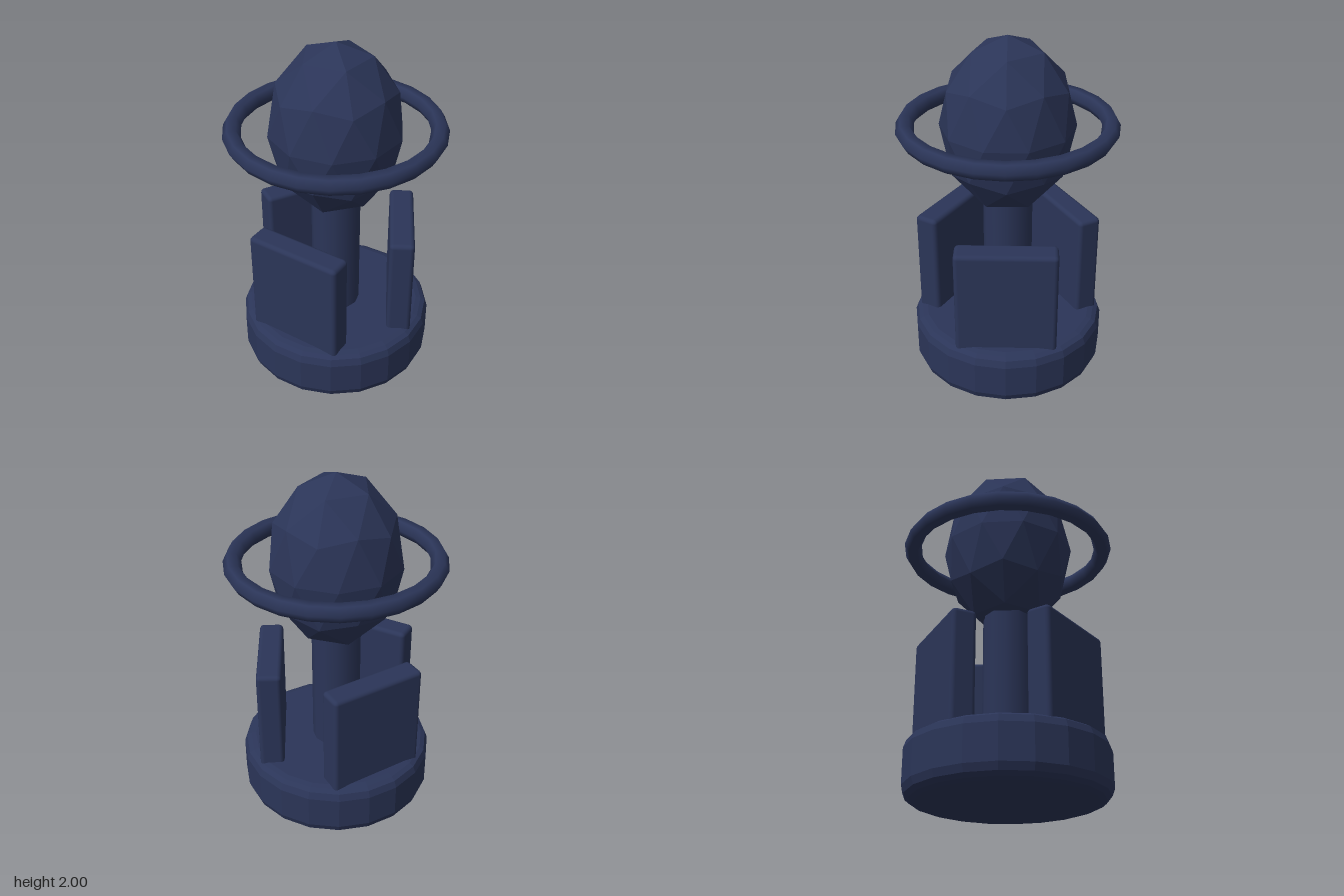
import * as THREE from 'three';
import { RoundedBoxGeometry } from 'three/addons/geometries/RoundedBoxGeometry.js';

export function createModel() {
  const model = new THREE.Group();
  model.name = 'ringedLamp';
  const color = 0x2b3558;
  const smooth = new THREE.MeshStandardMaterial({ color });
  const faceted = new THREE.MeshStandardMaterial({ color, flatShading: true });

  const add = (name, geometry, material, y = 0) => {
    const mesh = new THREE.Mesh(geometry, material);
    mesh.name = name;
    mesh.position.y = y;
    model.add(mesh);
    return mesh;
  };

  // Round plinth with bevelled rims
  const profile = [
    [0, 0], [0.49, 0], [0.52, 0.01], [0.545, 0.03], [0.56, 0.07],
    [0.56, 0.265], [0.545, 0.305], [0.52, 0.32], [0.49, 0.328], [0, 0.328],
  ].map(([r, y]) => new THREE.Vector2(r, y));
  add('base', new THREE.LatheGeometry(profile, 20), faceted);

  // Central post
  add('post', new THREE.CylinderGeometry(0.14, 0.14, 0.86, 12), smooth, 0.7);

  // Three upright slabs around the post
  for (let i = 0; i < 3; i++) {
    const angle = (i * Math.PI * 2) / 3;
    const slab = add('panel' + (i + 1), new RoundedBoxGeometry(0.14, 0.65, 0.57, 2, 0.025), smooth, 0.605);
    slab.position.x = Math.cos(angle) * 0.38;
    slab.position.z = -Math.sin(angle) * 0.38;
    slab.rotation.y = angle;
  }

  // Faceted egg-shaped head, turned so that a vertex sits at each pole
  const head = new THREE.IcosahedronGeometry(1, 1);
  head.rotateZ(-Math.atan(2 / (1 + Math.sqrt(5))));
  head.scale(0.375, 0.5, 0.375);
  add('head', head, faceted, 1.5);

  // Level ring floating around the head
  const ring = new THREE.TorusGeometry(0.56, 0.05, 6, 24);
  ring.rotateX(Math.PI / 2);
  add('ring', ring, smooth, 1.503);

  return model;
}
